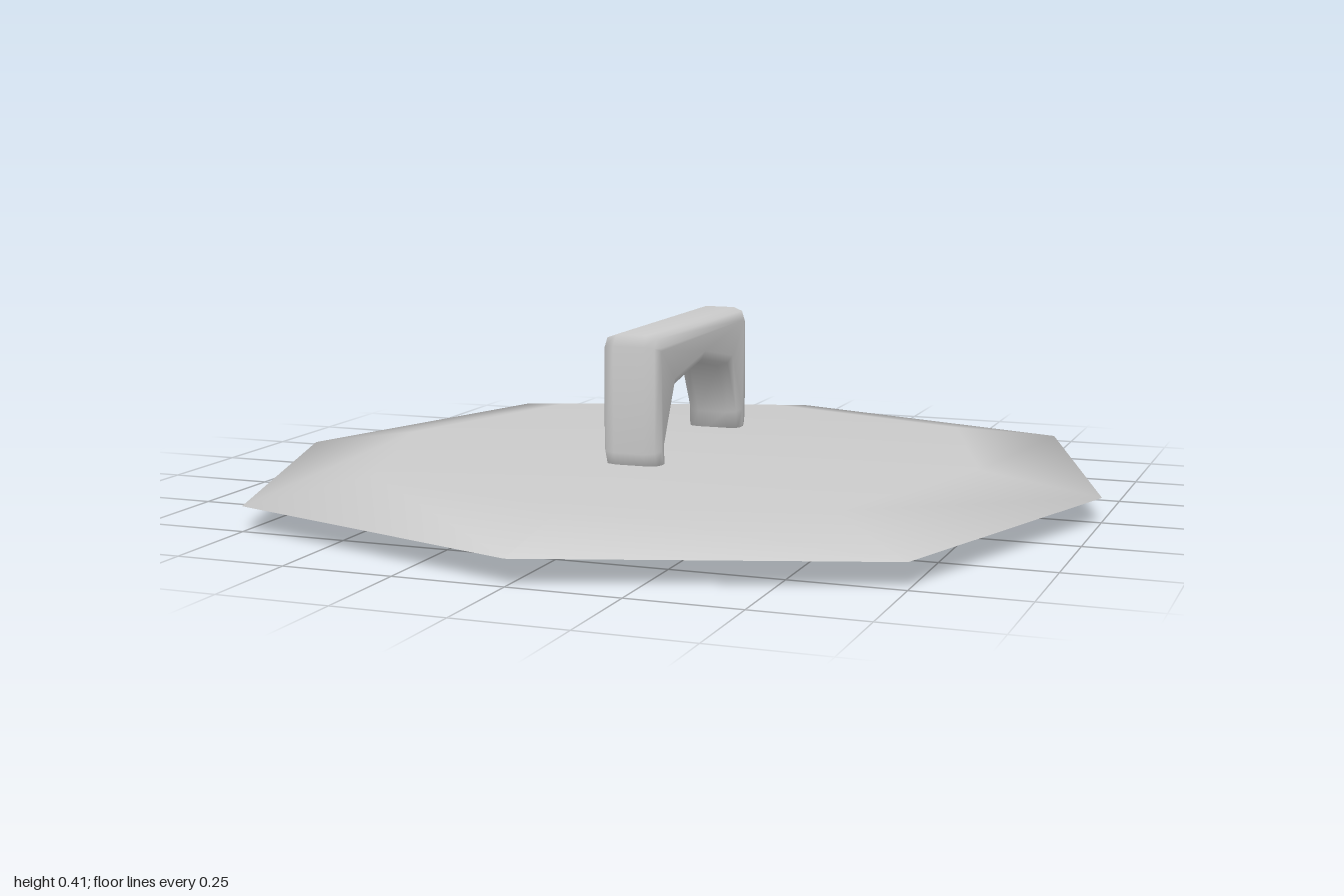
import * as THREE from 'three';
import { mergeVertices } from 'three/addons/utils/BufferGeometryUtils.js';

// Weld shared corners so the whole surface shades smoothly
function smooth(geometry) {
  geometry.deleteAttribute('normal');
  geometry.deleteAttribute('uv');
  const welded = mergeVertices(geometry, 1e-4);
  welded.computeVertexNormals();
  return welded;
}

function part(name, geometry) {
  const mesh = new THREE.Mesh(geometry, new THREE.MeshStandardMaterial({ color: 0xcccccc }));
  mesh.name = name;
  return mesh;
}

// Eight-sided plate with a thin rim, slightly domed on both faces
function lidGeometry() {
  const profile = [[0, 0.003], [0.79, 0.02], [1, 0.06], [0.72, 0.104], [0, 0.115]]
    .map(([r, y]) => new THREE.Vector2(r, y));
  const geometry = new THREE.LatheGeometry(profile, 8);
  const pos = geometry.attributes.position;
  // Diagonal corners reach a little further out than the four main points
  for (let i = 0; i < pos.count; i++) {
    const x = pos.getX(i), z = pos.getZ(i);
    const k = Math.min(Math.abs(x), Math.abs(z)) > 1e-3 ? 0.75 * Math.SQRT2 : 1;
    pos.setXYZ(i, x * k, pos.getY(i), z * k);
  }
  return smooth(geometry);
}

// Bridge-shaped grip with bevelled edges, drawn in (z, y)
function handleGeometry() {
  const bevel = 0.033, width = 0.14;
  const outline = [
    [0.25, 0.09], [0.27, 0.14], [0.27, 0.385], [0.25, 0.41],
    [-0.35, 0.41], [-0.37, 0.385], [-0.37, 0.14], [-0.355, 0.09],
    [-0.295, 0.09], [-0.295, 0.15], [-0.23, 0.277], [-0.05, 0.31],
    [0.135, 0.277], [0.2, 0.15], [0.195, 0.09],
  ].map(([z, y]) => new THREE.Vector2(z, y));
  const geometry = new THREE.ExtrudeGeometry(new THREE.Shape(outline), {
    depth: width - 2 * bevel,
    bevelEnabled: true,
    bevelThickness: bevel,
    bevelSize: bevel * 0.85,
    bevelOffset: -bevel * 0.85,
    bevelSegments: 2,
  });
  geometry.translate(0, 0, -width / 2 + bevel);
  geometry.rotateY(-Math.PI / 2);
  return smooth(geometry);
}

export function createModel() {
  const group = new THREE.Group();
  group.name = 'lidWithHandle';
  group.add(part('lid', lidGeometry()));
  const handle = part('handle', handleGeometry());
  handle.position.x = -0.03;
  group.add(handle);
  return group;
}
